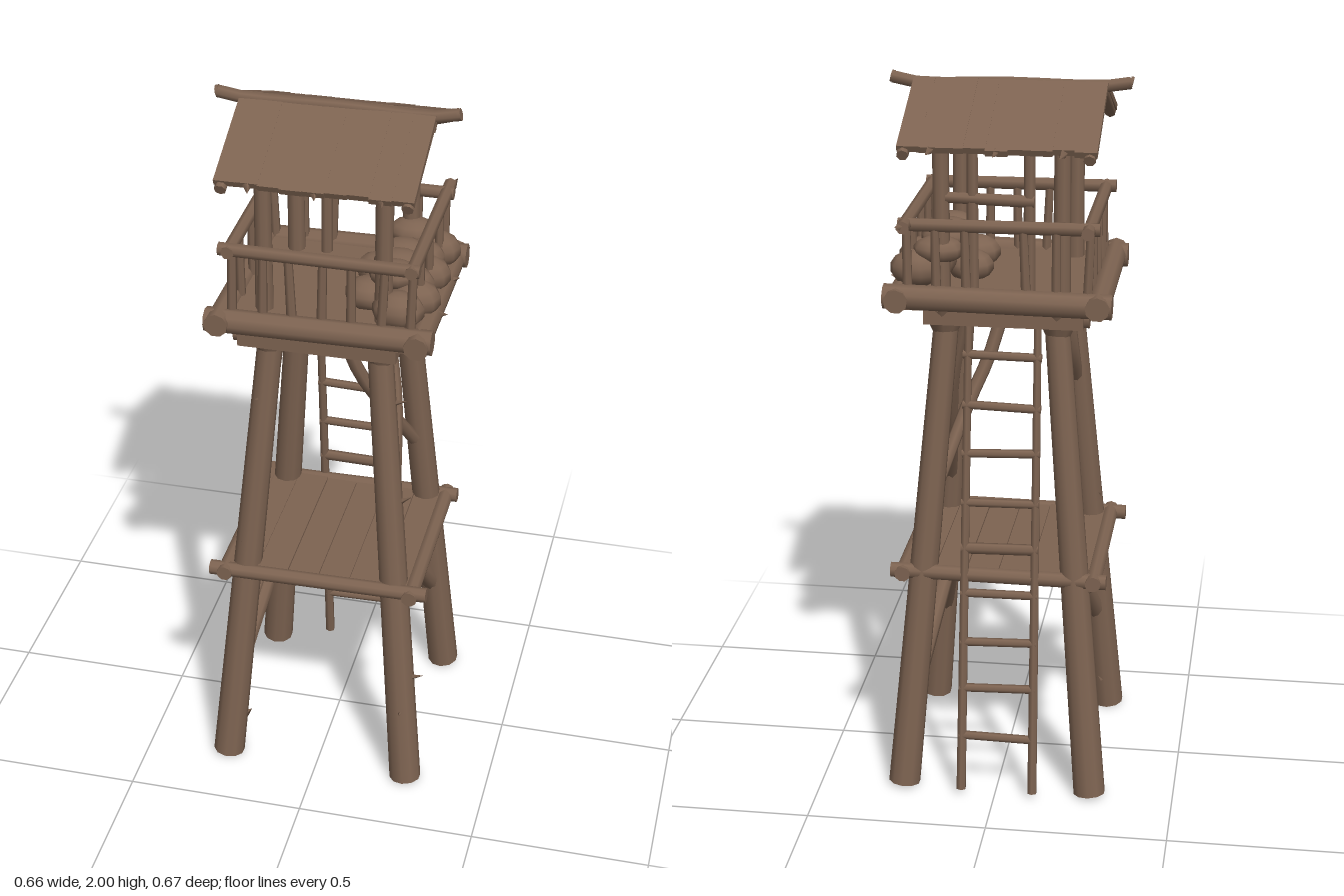
import * as THREE from 'three';

export function createModel() {
  const model = new THREE.Group();
  model.name = 'watchtower';
  const wood = new THREE.MeshStandardMaterial({ color: 0x7d6351 });
  wood.name = 'weathered wood';
  const UP = new THREE.Vector3(0, 1, 0);
  const V = (a) => new THREE.Vector3(...a);

  let seed = 7;
  const rand = () => ((seed = (seed * 16807) % 2147483647) / 2147483647);

  function add(name, geometry) {
    const mesh = new THREE.Mesh(geometry, wood);
    mesh.name = name;
    model.add(mesh);
    return mesh;
  }
  // Round timber from a to b
  function log(name, a, b, r0, r1 = r0, sides = 9) {
    const p = V(a), q = V(b), d = q.clone().sub(p);
    const mesh = add(name, new THREE.CylinderGeometry(r1, r0, d.length(), sides));
    mesh.position.copy(p).add(q).multiplyScalar(0.5);
    mesh.quaternion.setFromUnitVectors(UP, d.normalize());
    return mesh;
  }
  function box(name, size, pos) {
    const mesh = add(name, new THREE.BoxGeometry(...size));
    mesh.position.set(...pos);
    return mesh;
  }
  // Bent branch through several points
  function branch(name, points, r) {
    const curve = new THREE.CatmullRomCurve3(points.map(V));
    return add(name, new THREE.TubeGeometry(curve, 10, r, 7));
  }
  // Broken splinter pointing outward
  function splinter(at, dir, length = 0.06, r = 0.015) {
    const p = V(at), d = V(dir).normalize();
    const mesh = add('splinter', new THREE.ConeGeometry(r, length, 4));
    mesh.position.copy(p).addScaledVector(d, length / 2);
    mesh.quaternion.setFromUnitVectors(UP, d);
  }

  // Four splayed legs with flared heads under the floor
  for (const sx of [-1, 1]) for (const sz of [-1, 1]) {
    const zb = sz > 0 ? 0.295 : -0.275, zt = sz > 0 ? 0.165 : -0.145;
    log('leg', [sx * 0.265, 0.01, zb], [sx * 0.145, 1.42, zt], 0.045, 0.034, 10);
    log('legHead', [sx * 0.153, 1.33, zt + sz * 0.006], [sx * 0.155, 1.42, zt], 0.036, 0.075, 10);
  }

  // Middle platform: deck planks and rim logs
  const planks = 6;
  for (let i = 0; i < planks; i++) {
    const w = 0.53 / planks;
    box('platformPlank', [w - 0.002, 0.026 + rand() * 0.006, 0.51], [-0.265 + w * (i + 0.5), 0.647, 0.015]);
  }
  log('platformFrontLog', [-0.31, 0.645, 0.27], [0.31, 0.65, 0.27], 0.021);
  log('platformBackLog', [-0.3, 0.645, -0.235], [0.3, 0.65, -0.235], 0.021);
  for (const s of [-1, 1]) log('platformSideLog', [s * 0.265, 0.645, 0.295], [s * 0.265, 0.647, -0.26], 0.022);

  // Lower braces, two on each side
  for (const s of [-1, 1]) {
    log('lowerBrace', [s * 0.23, 0.33, 0.25], [s * 0.16, 0.63, 0.02], 0.026, 0.022);
    log('lowerBrace', [s * 0.23, 0.33, -0.23], [s * 0.16, 0.63, 0.0], 0.028, 0.022);
    log('thinBrace', [s * 0.225, 0.43, 0.25], [s * 0.18, 0.63, 0.06], 0.014);
  }
  // Upper crossed branches
  branch('upperBrace', [[0.2, 0.76, 0.21], [0.18, 0.93, 0.1], [0.16, 1.13, 0.01], [0.12, 1.33, -0.04]], 0.019);
  branch('upperBrace', [[0.18, 0.88, -0.16], [0.11, 1.08, -0.02], [0.06, 1.2, 0.03], [0.01, 1.38, 0.07]], 0.019);
  branch('upperBrace', [[-0.17, 1.08, 0.19], [-0.165, 1.2, 0.11], [-0.15, 1.37, 0.06]], 0.02);

  // Ladder leaning along the back legs
  const ladderZ = (y) => -0.322 + 0.115 * y;
  for (const x of [-0.107, 0.095])
    log('ladderRail', [x, 0.02, ladderZ(0.02)], [x * 0.93, 1.38, ladderZ(1.38)], 0.014, 0.011, 6);
  [0.18, 0.325, 0.46, 0.6, 0.73, 0.86, 1.0, 1.13, 1.27].forEach((y, i) => {
    const tilt = (rand() - 0.5) * 0.012;
    const rung = log('ladderRung', [-0.112, y + tilt, ladderZ(y)], [0.102, y - tilt, ladderZ(y)], 0.012, 0.012, 6);
    if (i === 4) rung.scale.x = 1.4;
  });

  // Upper floor: joists, deck and heavy rim logs
  box('underFloor', [0.43, 0.05, 0.44], [-0.01, 1.385, 0.015]);
  box('floorDeck', [0.54, 0.04, 0.52], [0, 1.435, 0.005]);
  for (const z of [0.2, -0.17]) log('joist', [-0.24, 1.385, z], [0.2, 1.385, z], 0.027);
  for (const z of [0.25, -0.24]) log('floorRimLog', [-0.305, 1.44, z], [0.305, 1.447, z], 0.034);
  for (const x of [-0.268, 0.268]) log('floorRimLog', [x, 1.445, 0.29], [x, 1.442, -0.275], 0.033);

  // Roof posts
  for (const x of [-0.163, 0.16]) for (const z of [-0.167, 0.178])
    log('roofPost', [x, 1.42, z], [x, 1.88, z], 0.025, 0.022);

  // Hatch frame at the top of the ladder
  for (const x of [-0.077, 0.075]) log('hatchPost', [x, 1.45, -0.167], [x, 1.87, -0.167], 0.017, 0.015, 7);
  log('hatchBar', [-0.09, 1.7, -0.17], [0.16, 1.705, -0.17], 0.017, 0.015, 7);

  // Railing with balusters
  for (const z of [0.232, -0.225]) {
    log('railing', [-0.27, 1.645, z], [0.265, 1.642, z], 0.018, 0.018, 7);
    for (const x of [-0.238, -0.155, -0.075, 0.005, 0.085, 0.165, 0.242]) {
      if (z < 0 && Math.abs(x) < 0.06) continue;
      log('baluster', [x, 1.45, z], [x + (rand() - 0.5) * 0.02, 1.65, z], 0.014, 0.012, 6);
    }
  }
  for (const x of [-0.242, 0.245]) {
    log('railing', [x, 1.642, 0.25], [x, 1.645, -0.275], 0.018, 0.018, 7);
    for (const z of [0.125, 0.005, -0.125])
      log('baluster', [x, 1.45, z], [x, 1.65, z + (rand() - 0.5) * 0.02], 0.013, 0.011, 6);
  }

  // Heap of sacks along the left side
  for (let i = 0; i < 6; i++) {
    const sack = add('sack', new THREE.SphereGeometry(0.055, 10, 7));
    sack.scale.set(1.3, 0.95, 1.0);
    sack.position.set(0.2 + (i % 2) * 0.03, 1.495 + rand() * 0.015, 0.185 - i * 0.069);
    if (i % 2 === 1 || i === 2) {
      const upper = add('sack', new THREE.SphereGeometry(0.05, 10, 7));
      upper.scale.set(1.4, 0.75, 1.1);
      upper.position.set(0.17, 1.555, 0.16 - i * 0.062);
    }
  }
  for (const z of [0.09, -0.05]) {
    const sack = add('sack', new THREE.SphereGeometry(0.055, 10, 7));
    sack.scale.set(1.2, 0.8, 1.1);
    sack.position.set(0.1, 1.485, z);
  }

  // Roof frame: wall plates, tie beams, rafters
  for (const z of [0.178, -0.167]) log('wallPlate', [-0.22, 1.865, z], [0.22, 1.865, z], 0.02);
  for (const x of [-0.175, 0.175]) {
    log('tieBeam', [x, 1.857, 0.2], [x, 1.857, -0.195], 0.022);
    log('kingPost', [x, 1.86, 0], [x, 1.96, 0], 0.016, 0.016, 7);
  }
  for (const x of [-0.245, 0.24]) for (const s of [-1, 1])
    log('rafter', [x, 1.965, 0], [x, 1.842, s * 0.285], 0.019, 0.016, 7);

  // Roof boards with ragged eaves
  const pitch = Math.atan2(0.125, 0.285), boards = 9, bw = 0.52 / boards;
  for (const s of [-1, 1]) for (let i = 0; i < boards; i++) {
    const len = 0.297 + rand() * 0.014;
    const g = new THREE.BoxGeometry(bw + 0.001, 0.018, len);
    g.translate(0, 0, (s * len) / 2);
    const board = add('roofBoard', g);
    board.position.set(-0.264 + bw * (i + 0.5), 1.978 + rand() * 0.002, 0);
    board.rotation.x = s * pitch;
    if (i % 3 === 1) splinter([board.position.x, 1.857, s * 0.275], [0.3, -0.3, s], 0.03, 0.012);
  }
  // Crooked ridge pole
  branch('ridgePole', [[-0.325, 1.985, 0.008], [-0.26, 1.975, 0.008], [0, 1.976, 0.008], [0.25, 1.972, 0.006], [0.315, 1.985, 0.006]], 0.017);
  for (const [x, y] of [[-0.325, 1.985], [0.315, 1.985]])
    log('ridgeEnd', [x - 0.004, y - 0.001, 0.007], [x + 0.004, y + 0.001, 0.007], 0.0165);

  // Splinters on legs and rails
  splinter([-0.25, 0.1, 0.27], [1, 1, 0], 0.07, 0.03);
  splinter([0.25, 0.35, 0.27], [1, 0.3, 0], 0.06);
  splinter([0.2, 0.9, 0.21], [1, 0.6, 0], 0.06);
  splinter([0.17, 1.2, 0.18], [1, 0.3, 0], 0.06);
  splinter([-0.23, 0.72, 0.21], [0.2, 0.4, 1], 0.06);
  splinter([-0.17, 1.17, 0.18], [-0.2, 0.5, 1], 0.06);
  splinter([0.25, 0.24, 0.28], [0, 0.4, 1], 0.06);
  splinter([-0.22, 0.6, -0.22], [-1, 0.4, -0.3], 0.06);
  splinter([0.285, 1.45, 0.1], [1, 0.2, 0.3], 0.035);
  splinter([0.28, 1.45, -0.08], [1, 0.3, -0.3], 0.035);
  splinter([0.25, 1.645, -0.26], [0.3, 0.2, -1], 0.04);

  return model;
}
